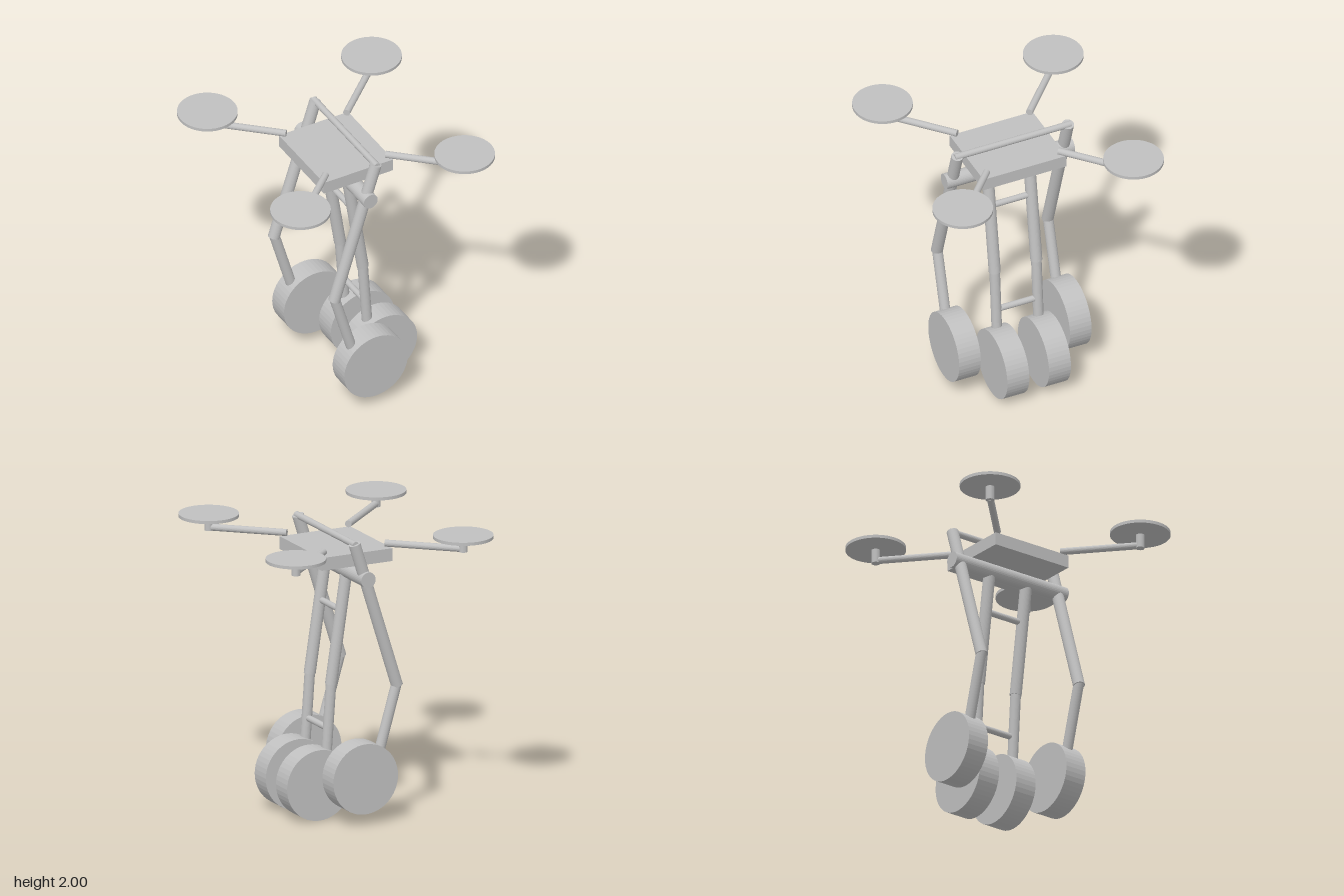
import * as THREE from 'three';

export function createModel() {
  const model = new THREE.Group();
  model.name = 'wheeledLegDrone';
  const grey = new THREE.MeshStandardMaterial({ color: 0xc0c0c0, flatShading: true });
  grey.name = 'lightGrey';

  const up = new THREE.Vector3(0, 1, 0);

  // Round rod between two points
  function rod(name, a, b, radius, sides = 32) {
    const start = new THREE.Vector3(...a);
    const end = new THREE.Vector3(...b);
    const dir = end.clone().sub(start);
    const mesh = new THREE.Mesh(new THREE.CylinderGeometry(radius, radius, dir.length(), sides), grey);
    mesh.position.copy(start).add(end).multiplyScalar(0.5);
    mesh.quaternion.setFromUnitVectors(up, dir.normalize());
    mesh.name = name;
    model.add(mesh);
    return mesh;
  }

  // Flat body plate
  const body = new THREE.Mesh(new THREE.BoxGeometry(0.54, 0.09, 0.62), grey);
  body.position.set(0, 1.825, 0);
  body.name = 'body';
  model.add(body);

  // Four arms, each with a mast and rotor disc
  for (const sx of [-1, 1]) {
    for (const sz of [-1, 1]) {
      rod('rotorArm', [sx * 0.235, 1.901, sz * 0.27], [sx * 0.64, 1.901, sz * 0.64], 0.024);
      rod('rotorMast', [sx * 0.64, 1.88, sz * 0.64], [sx * 0.64, 1.985, sz * 0.64], 0.03);
      rod('rotorDisc', [sx * 0.64, 1.978, sz * 0.64], [sx * 0.64, 2, sz * 0.64], 0.206, 64);
    }
  }

  // Hip axle and the bar joining the tops of the outer legs
  rod('hipAxle', [0, 1.72, -0.477], [0, 1.72, 0.477], 0.055);
  rod('topBar', [0.075, 1.967, -0.435], [0.075, 1.967, 0.435], 0.023);

  for (const s of [-1, 1]) {
    // Outer leg
    const zo = s * 0.415;
    rod('outerUpperLeg', [0.075, 1.97, zo], [-0.25, 0.935, zo], 0.041);
    rod('outerLowerLeg', [-0.25, 0.96, zo], [-0.07, 0.335, zo], 0.036);
    rod('outerWheel', [0.031, 0.327, zo - 0.081], [0.031, 0.327, zo + 0.081], 0.247, 48);

    // Inner leg
    const zi = s * 0.156;
    rod('innerUpperLeg', [0, 1.72, zi], [0.12, 0.925, zi], 0.041);
    rod('innerLowerLeg', [0.118, 0.95, zi], [0.168, 0.25, zi], 0.036);
    rod('innerWheel', [0.25, 0.248, zi - 0.082], [0.25, 0.248, zi + 0.082], 0.248, 48);
  }

  // Rungs between the inner legs
  rod('upperRung', [0.043, 1.437, -0.156], [0.043, 1.437, 0.156], 0.022);
  rod('lowerRung', [0.142, 0.617, -0.156], [0.142, 0.617, 0.156], 0.022);

  return model;
}
